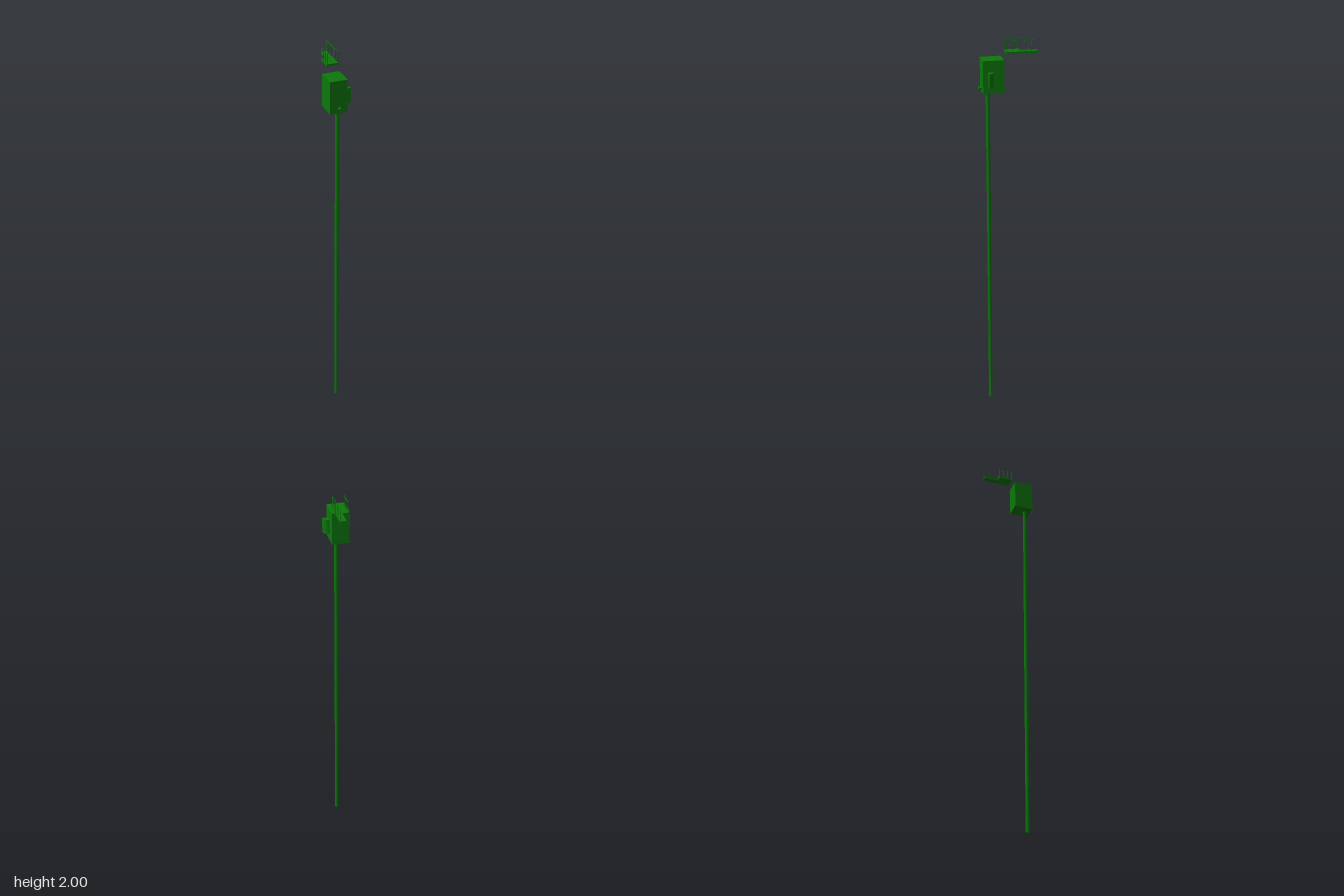
import * as THREE from 'three';

export function createModel() {
  const model = new THREE.Group();
  const green = new THREE.MeshStandardMaterial({ color: 0x0c780c });

  function add(parent, name, geometry, x = 0, y = 0, z = 0) {
    const mesh = new THREE.Mesh(geometry, green);
    mesh.name = name;
    mesh.position.set(x, y, z);
    parent.add(mesh);
    return mesh;
  }

  // Box given by its minimum and maximum corners
  function addBox(parent, name, [x0, y0, z0], [x1, y1, z1]) {
    return add(parent, name, new THREE.BoxGeometry(x1 - x0, y1 - y0, z1 - z0),
      (x0 + x1) / 2, (y0 + y1) / 2, (z0 + z1) / 2);
  }

  // Tall pole with a small collar below the cabin
  add(model, 'pole', new THREE.CylinderGeometry(0.01, 0.01, 1.745, 16), -0.01, 0.8725, 0.092);
  add(model, 'poleCollar', new THREE.CylinderGeometry(0.013, 0.01, 0.02, 16), -0.01, 1.748, 0.092);

  // Cabin
  addBox(model, 'cabin', [-0.056, 1.757, 0.02], [0.028, 1.913, 0.12]);

  // Quarter-round housing on the left side of the cabin
  const radius = 0.027;
  const sector = new THREE.Shape();
  sector.moveTo(0, 0);
  sector.lineTo(radius, 0);
  sector.absarc(0, 0, radius, 0, Math.PI / 2, false);
  sector.closePath();
  const housing = new THREE.ExtrudeGeometry(sector, { depth: 0.072, bevelEnabled: false, curveSegments: 12 });
  housing.rotateX(-Math.PI / 2);
  add(model, 'sideHousing', housing, 0.028, 1.787, 0.096);

  // Short spout with a flange on the front
  const spout = new THREE.Group();
  spout.name = 'frontSpout';
  spout.position.set(-0.0085, 1.778, 0.12);
  model.add(spout);
  const neck = new THREE.CylinderGeometry(0.0055, 0.008, 0.014, 16).rotateX(Math.PI / 2);
  add(spout, 'spoutNeck', neck, 0, 0, 0.007);
  const flange = new THREE.CylinderGeometry(0.0105, 0.0105, 0.002, 16).rotateX(Math.PI / 2);
  add(spout, 'spoutFlange', flange, 0, 0, 0.015);

  // Stepped platform: a long deck beside a short one
  const platform = new THREE.Group();
  platform.name = 'platform';
  model.add(platform);
  addBox(platform, 'longDeck', [0, 1.939, -0.138], [0.028, 1.949, 0.01]);
  addBox(platform, 'shortDeck', [-0.027, 1.939, -0.063], [0, 1.949, 0.01]);

  // Thin railings along both outer edges
  const t = 0.002;
  function addRailing(name, x, backZ, frontZ, posts) {
    const railing = new THREE.Group();
    railing.name = name;
    platform.add(railing);
    addBox(railing, 'topRail', [x - t / 2, 2 - t, backZ], [x + t / 2, 2, frontZ]);
    for (let i = 0; i < posts; i++) {
      const z = THREE.MathUtils.lerp(backZ + t / 2, frontZ - t / 2, i / (posts - 1));
      addBox(railing, 'post', [x - t / 2, 1.949, z - t / 2], [x + t / 2, 2 - t, z + t / 2]);
    }
  }
  addRailing('leftRailing', 0.027, -0.138, 0.01, 6);
  addRailing('rightRailing', -0.026, -0.063, 0.01, 4);

  return model;
}
